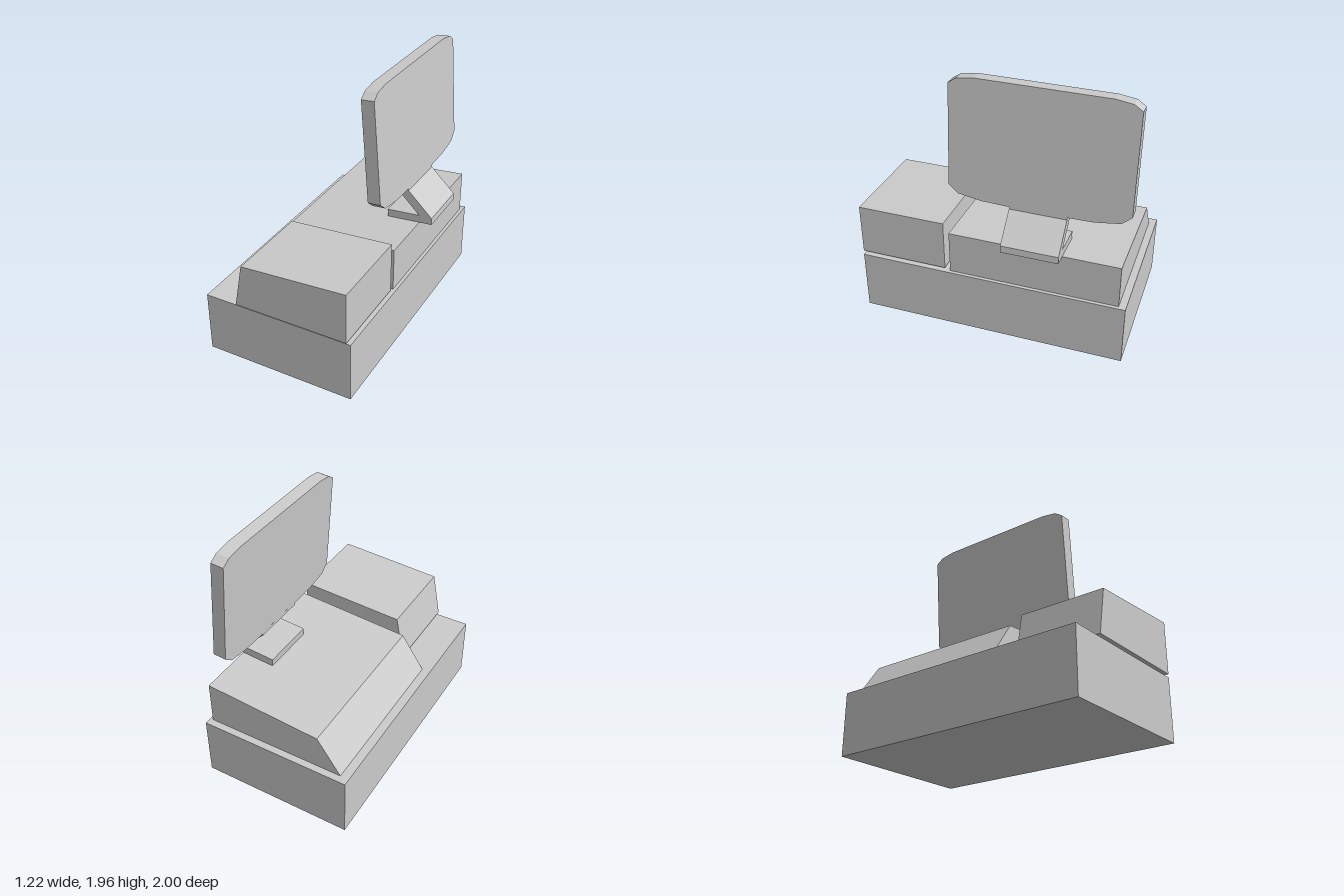
import * as THREE from 'three';

const material = new THREE.MeshStandardMaterial({ color: 0xcccccc, flatShading: true });

const toShape = (points) => new THREE.Shape(points.map(([x, y]) => new THREE.Vector2(x, y)));

// Side profile in x/y, extruded from z0 to z1
function profilePart(name, points, z0, z1) {
  const geometry = new THREE.ExtrudeGeometry(toShape(points), { depth: z1 - z0, bevelEnabled: false });
  geometry.translate(0, 0, z0);
  const mesh = new THREE.Mesh(geometry, material);
  mesh.name = name;
  return mesh;
}

export function createModel() {
  const model = new THREE.Group();
  model.name = 'cashRegister';

  // Cash drawer at the bottom
  const drawer = new THREE.Mesh(new THREE.BoxGeometry(1.15, 0.47, 1.985), material);
  drawer.name = 'cashDrawer';
  drawer.position.set(-0.04, 0.235, -0.005);
  model.add(drawer);

  // Main body with sloped front
  model.add(profilePart('registerBody',
    [[-0.55, 0.47], [0.51, 0.47], [0.51, 0.8], [-0.37, 0.73]], -0.945, 0.305));

  // Printer beside the body
  model.add(profilePart('receiptPrinter',
    [[-0.36, 0.485], [0.51, 0.485], [0.51, 0.875], [-0.295, 0.825]], 0.345, 1));

  // Bent stand: foot plate, leaning arm and short neck
  model.add(profilePart('screenStand', [
    [0.256, 0.78], [0.607, 0.806], [0.604, 0.858], [0.415, 1.04], [0.413, 1.07],
    [0.319, 1.062], [0.321, 1.035], [0.505, 0.858], [0.252, 0.838],
  ], -0.53, -0.115));

  // Tilted screen with softened corners, mirrored about its middle
  const half = [[0.2, -0.452], [0.4, -0.447], [0.58, -0.42], [0.65, -0.36],
    [0.65, 0.395], [0.59, 0.435], [0.47, 0.452]];
  const outline = [...half, ...half.map(([x, y]) => [-x, y]).reverse()];
  const screen = profilePart('screen', outline, -0.048, 0.048);
  screen.geometry.rotateY(Math.PI / 2);
  screen.rotation.z = 0.078;
  screen.position.set(0.333, 1.505, -0.32);
  model.add(screen);

  return model;
}
